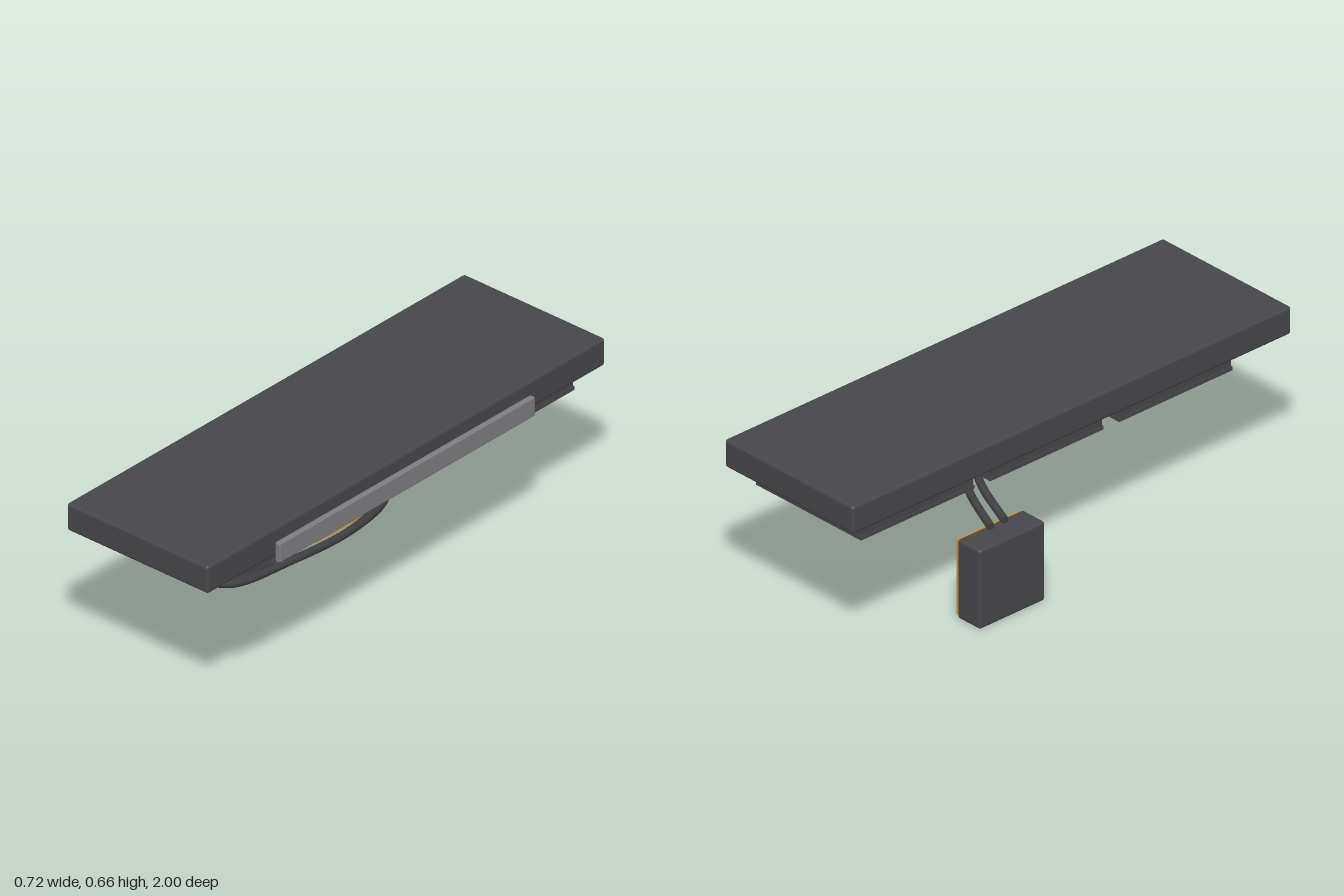
import * as THREE from 'three';
import { RoundedBoxGeometry } from 'three/addons/geometries/RoundedBoxGeometry.js';

const mat = (name, color, side = THREE.FrontSide) => {
  const m = new THREE.MeshStandardMaterial({ color, side });
  m.name = name;
  return m;
};

export function createModel() {
  const charcoal = mat('charcoal', 0x47464a);
  const bladeGrey = mat('blade grey', 0x3e3e42, THREE.DoubleSide);
  const rubber = mat('rubber', 0x403f42);
  const barGrey = mat('bar grey', 0x7e7e81);
  const hubGrey = mat('hub grey', 0x8c9091);
  const amber = mat('amber', 0xc8962f);
  const screenBrown = mat('screen brown', 0x4e4534);
  const white = mat('white', 0xf4f4f4);

  const model = new THREE.Group();
  model.name = 'liquidCooler';
  const add = (parent, name, geo, material, x = 0, y = 0, z = 0) => {
    const mesh = new THREE.Mesh(geo, material);
    mesh.name = name;
    mesh.position.set(x, y, z);
    parent.add(mesh);
    return mesh;
  };
  const rounded = (w, h, d, r) => new RoundedBoxGeometry(w, h, d, 3, r);

  // Radiator and the side bar
  add(model, 'radiator', rounded(0.632, 0.107, 2, 0.012), charcoal, 0.003, 0.6085, 0);
  add(model, 'sideBar', rounded(0.023, 0.075, 1.285, 0.006), barGrey, 0.346, 0.587, 0.038);

  // Square plate with a round or square opening, lying flat
  const square = (Type, s) => {
    const h = s / 2, shape = new Type();
    shape.moveTo(-h, -h);
    shape.lineTo(h, -h);
    shape.lineTo(h, h);
    shape.lineTo(-h, h);
    shape.closePath();
    return shape;
  };
  const frameGeometry = (size, hole, depth) => {
    const shape = square(THREE.Shape, size);
    shape.holes.push(hole);
    return new THREE.ExtrudeGeometry(shape, { depth, bevelEnabled: false, curveSegments: 32 })
      .rotateX(-Math.PI / 2);
  };
  const roundHole = new THREE.Path();
  roundHole.absarc(0, 0, 0.222, 0, Math.PI * 2, true);
  const bodyGeo = frameGeometry(0.51, roundHole, 0.045);
  const rimGeo = frameGeometry(0.516, square(THREE.Path, 0.452), 0.014);

  // Swept, pitched fan blade: grid from hub to tip bent by a rule
  const bladeGeo = new THREE.PlaneGeometry(1, 1, 6, 3);
  const p = bladeGeo.attributes.position;
  for (let i = 0; i < p.count; i++) {
    const u = p.getX(i) + 0.5, v = p.getY(i);
    const r = 0.068 + u * 0.142;
    const a = v * 0.47 + u * u * 0.3;
    p.setXYZ(i, Math.cos(a) * r, v * 0.034, Math.sin(a) * r);
  }
  bladeGeo.computeVertexNormals();

  // Three fans under the radiator
  const hubGeo = new THREE.CylinderGeometry(0.074, 0.074, 0.045, 32);
  const lampGeo = new THREE.CylinderGeometry(0.082, 0.082, 0.006, 32);
  const ringGeo = new THREE.TorusGeometry(0.224, 0.0035, 8, 64).rotateX(Math.PI / 2);
  for (const z of [0.525, -0.063, -0.652]) {
    const fan = new THREE.Group();
    fan.name = 'fan';
    fan.position.set(0.002, 0.476, z);
    model.add(fan);
    add(fan, 'fanFrame', bodyGeo, charcoal, 0, 0.012, 0);
    add(fan, 'fanRim', rimGeo, charcoal);
    add(fan, 'fanHub', hubGeo, hubGrey, 0, 0.028, 0);
    add(fan, 'hubLight', lampGeo, white, 0, 0.06, 0);
    add(fan, 'fanRing', ringGeo, amber, 0, 0.062, 0);
    for (let i = 0; i < 11; i++) {
      add(fan, 'fanBlade', bladeGeo, bladeGrey, 0, 0.03, 0).rotation.y = (i / 11) * Math.PI * 2;
    }
  }

  // Pump block with framed screen on its inner face
  add(model, 'pumpBlock', rounded(0.112, 0.304, 0.3, 0.012), charcoal, -0.304, 0.154, -0.315);
  add(model, 'screenFrame', new THREE.BoxGeometry(0.005, 0.288, 0.284), amber, -0.24, 0.155, -0.316);
  add(model, 'screen', new THREE.BoxGeometry(0.004, 0.25, 0.25), screenBrown, -0.232, 0.155, -0.316);

  // Two hoses from radiator to pump
  const path = [
    [0.1, 0.538, 0.92], [0.2, 0.532, 0.91], [0.272, 0.513, 0.84], [0.3, 0.482, 0.55],
    [0.282, 0.452, 0.25], [0.2, 0.417, 0], [0.1, 0.387, -0.1], [0, 0.364, -0.18],
    [-0.1, 0.345, -0.24], [-0.28, 0.32, -0.31],
  ];
  for (const side of [0, 1]) {
    const points = path.map(([x, y, z], i) => {
      const t = i / (path.length - 1);
      const dx = side * [0.058, 0.04, 0.02, 0.004, 0.006, 0.005, 0, 0, 0, 0][i];
      return new THREE.Vector3(x + dx, y + side * 0.008 * (1 - t), z + (side ? 0.032 : -0.032) * t);
    });
    const curve = new THREE.CatmullRomCurve3(points);
    add(model, 'hose', new THREE.TubeGeometry(curve, 80, 0.0145, 12), rubber);
    // End caps
    for (const t of [0, 1]) {
      const end = curve.getPointAt(t);
      const cap = add(model, 'hoseEnd', new THREE.CircleGeometry(0.0145, 12), rubber, end.x, end.y, end.z);
      cap.lookAt(end.clone().addScaledVector(curve.getTangentAt(t), t ? 1 : -1));
    }
  }
  return model;
}
